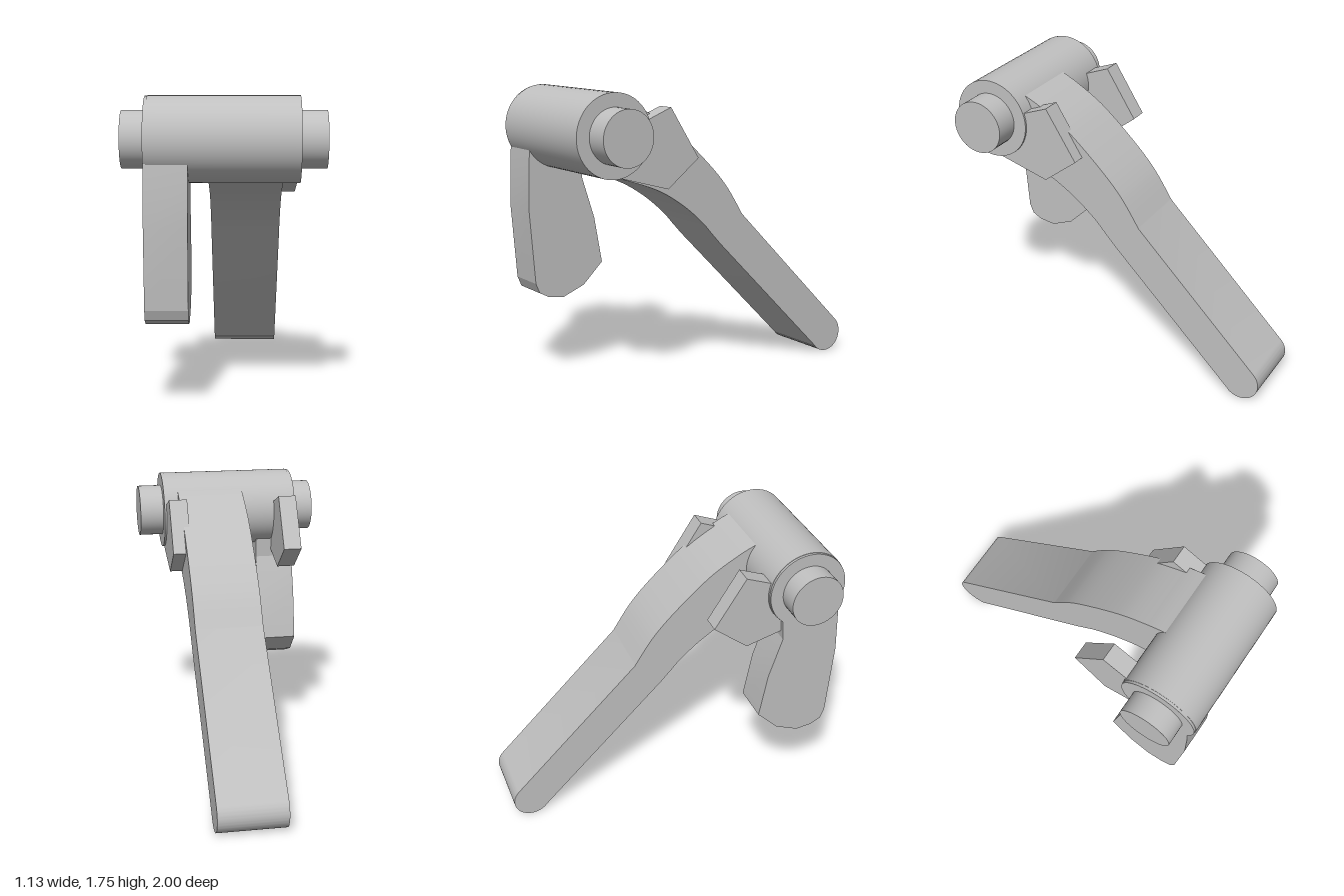
import * as THREE from 'three';
import { toCreasedNormals } from 'three/addons/utils/BufferGeometryUtils.js';

const AXIS_Y = 1.51, AXIS_Z = 0.76;
const V = (z, y) => new THREE.Vector2(-z, y); // side profile point given as (z, y)

export function createModel() {
  const group = new THREE.Group();
  const steel = new THREE.MeshStandardMaterial({ color: 0xc0c0c0 });
  steel.name = 'plain grey';

  const add = (name, geometry) => {
    const mesh = new THREE.Mesh(geometry, steel);
    mesh.name = name;
    group.add(mesh);
    return mesh;
  };

  // Cylinder along x on the shared axis
  const roller = (name, radius, x0, x1) => {
    const mesh = add(name, new THREE.CylinderGeometry(radius, radius, x1 - x0, 64).rotateZ(Math.PI / 2));
    mesh.position.set((x0 + x1) / 2, AXIS_Y, AXIS_Z);
  };

  // Side profile extruded across x
  const plate = (name, shape, x0, x1) => {
    const geo = new THREE.ExtrudeGeometry(shape, { depth: x1 - x0, bevelEnabled: false, curveSegments: 24 });
    geo.rotateY(Math.PI / 2).translate(x0, 0, 0);
    add(name, toCreasedNormals(geo, 0.3));
  };

  // Barrel with the pin through it
  roller('barrel', 0.24, -0.42, 0.415);
  roller('pin', 0.16, -0.565, 0.562);

  // Curved arm ending in a rounded tip
  const arm = new THREE.Shape();
  arm.moveTo(-0.72, 1.27);
  arm.splineThru([V(0.6, 1.235), V(0.41, 1.165), V(0.25, 1.07), V(0.115, 0.96), V(0.035, 0.875), V(-0.025, 0.81)]);
  arm.lineTo(0.804, 0.036);
  arm.absarc(0.885, 0.115, 0.115, -Math.PI * 0.75, Math.PI * 0.25, false);
  arm.lineTo(0.19, 0.973);
  arm.splineThru([V(-0.07, 1.155), V(0.078, 1.315), V(0.287, 1.5), V(0.464, 1.61), V(0.58, 1.665)]);
  arm.lineTo(-0.75, 1.6);
  plate('arm', arm, -0.09, 0.325);

  // Pair of angular lugs behind the barrel
  const lug = new THREE.Shape([V(0.72, 1.273), V(0.4, 1.185), V(0.19, 1.35), V(0.38, 1.65), V(0.53, 1.59), V(0.72, 1.52)]);
  plate('leftLug', lug, 0.29, 0.403);
  plate('rightLug', lug, -0.406, -0.295);

  // Hanging lever with its round hub
  const lever = new THREE.Shape([
    V(0.965, 1.4), V(0.972, 1.3), V(0.98, 1.05), V(0.945, 0.59), V(0.92, 0.53), V(0.86, 0.498), V(0.76, 0.485),
    V(0.62, 0.542), V(0.49, 0.67), V(0.54, 0.95), V(0.62, 1.2), V(0.61, 1.35), V(0.76, 1.5),
  ]);
  plate('lever', lever, -0.435, -0.195);
  roller('leverHub', 0.237, -0.435, -0.2);

  return group;
}
